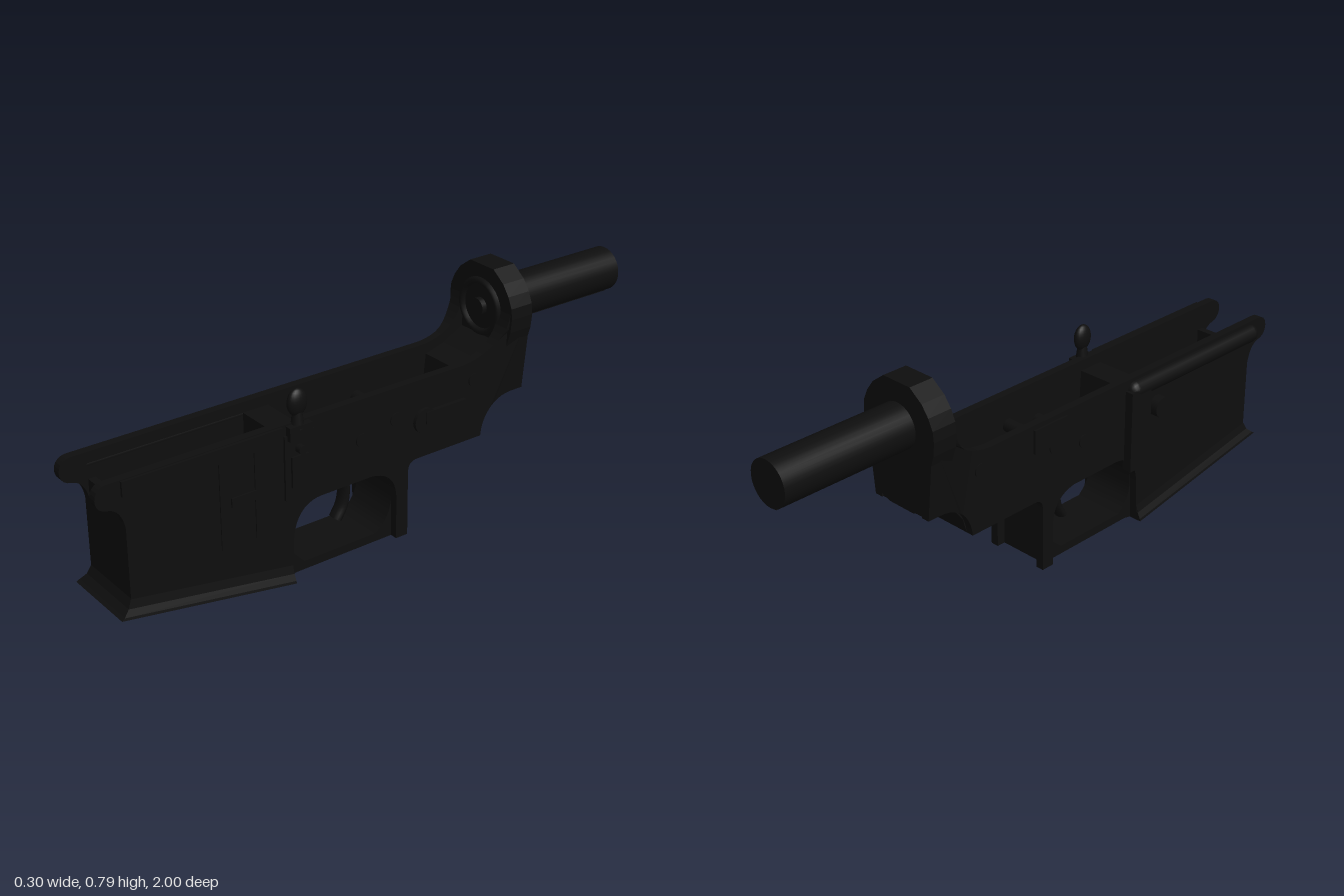
import * as THREE from 'three';

const black = new THREE.MeshStandardMaterial({ color: 0x0e0e0e, side: THREE.DoubleSide });
black.name = 'matte black';

export function createModel() {
  const group = new THREE.Group();
  const add = (name, geo, x = 0, y = 0, z = 0) => {
    const mesh = new THREE.Mesh(geo, black);
    mesh.name = name;
    mesh.position.set(x, y, z);
    group.add(mesh);
    return mesh;
  };
  const box = (name, x0, x1, y0, y1, z0, z1) =>
    add(name, new THREE.BoxGeometry(x1 - x0, y1 - y0, z1 - z0), (x0 + x1) / 2, (y0 + y1) / 2, (z0 + z1) / 2);
  const toShape = pts => new THREE.Shape(pts.map(p => new THREE.Vector2(...p)));
  // Extrudes a side profile given as (z, y) points between x0 and x1
  const sideExtrude = (shape, x0, x1) => {
    const geo = new THREE.ExtrudeGeometry(shape, { depth: x1 - x0, bevelEnabled: false, curveSegments: 10 });
    return geo.rotateY(-Math.PI / 2).translate(x1, 0, 0);
  };
  // Round part whose axis runs across the body
  const disc = (name, r, x0, x1, y, z) =>
    add(name, new THREE.CylinderGeometry(r, r, x1 - x0, 20).rotateZ(Math.PI / 2), (x0 + x1) / 2, y, z);

  // Side walls, flaring outward into the rear ring
  const wall = new THREE.Shape();
  wall.moveTo(0.91, 0.112);
  wall.lineTo(0.36, 0.012);
  wall.lineTo(0.355, 0.13);
  wall.bezierCurveTo(0.355, 0.22, 0.31, 0.262, 0.25, 0.262);
  wall.lineTo(0.06, 0.262);
  wall.quadraticCurveTo(-0.035, 0.25, -0.035, 0.15);
  wall.lineTo(-0.035, 0.01);
  wall.lineTo(-0.08, 0.01);
  wall.lineTo(-0.08, 0.23);
  wall.quadraticCurveTo(-0.08, 0.268, -0.115, 0.268);
  wall.lineTo(-0.375, 0.268);
  wall.bezierCurveTo(-0.38, 0.34, -0.43, 0.39, -0.5, 0.39);
  wall.lineTo(-0.545, 0.39);
  wall.lineTo(-0.545, 0.67);
  wall.lineTo(-0.46, 0.67);
  wall.bezierCurveTo(-0.45, 0.59, -0.39, 0.54, -0.3, 0.535);
  wall.lineTo(0.96, 0.535);
  wall.bezierCurveTo(1.013, 0.535, 1.013, 0.46, 0.965, 0.455);
  wall.bezierCurveTo(0.93, 0.45, 0.91, 0.41, 0.91, 0.35);
  for (const s of [1, -1]) {
    const geo = sideExtrude(wall, s > 0 ? 0.086 : -0.114, s > 0 ? 0.114 : -0.086);
    const p = geo.attributes.position;
    for (let i = 0; i < p.count; i++) {
      if (Math.abs(p.getX(i)) < 0.1) continue;
      const t = THREE.MathUtils.smoothstep(-p.getZ(i), 0.36, 0.48);
      const h = THREE.MathUtils.smoothstep(p.getY(i), 0.42, 0.62);
      p.setX(i, p.getX(i) + s * 0.028 * t * h);
    }
    geo.computeVertexNormals();
    add(s > 0 ? 'leftWall' : 'rightWall', geo);
  }

  // Centre block with guard loop
  const core = toShape([[0.39, 0.005], [0.36, 0.004], [0.33, 0.01], [-0.05, 0.01], [-0.05, 0.25], [-0.11, 0.268],
    [-0.375, 0.268], [-0.39, 0.32], [-0.43, 0.37], [-0.48, 0.39], [-0.54, 0.39], [-0.54, 0.56], [-0.46, 0.56],
    [-0.38, 0.52], [-0.31, 0.5], [-0.29, 0.31], [0.29, 0.31], [0.3, 0.5], [0.39, 0.5]]);
  const opening = new THREE.Path();
  opening.moveTo(0.3, 0.038);
  opening.bezierCurveTo(0.34, 0.07, 0.352, 0.1, 0.352, 0.14);
  opening.bezierCurveTo(0.352, 0.22, 0.31, 0.26, 0.25, 0.26);
  opening.lineTo(0.06, 0.26);
  opening.quadraticCurveTo(-0.035, 0.25, -0.035, 0.15);
  opening.quadraticCurveTo(-0.03, 0.07, 0.03, 0.038);
  core.holes.push(opening);
  add('centreBlock', sideExtrude(core, -0.088, 0.088));

  // Front wall and flared lip of the open well
  box('wellFrontWall', -0.114, 0.114, 0.112, 0.45, 0.888, 0.912);
  const rings = [[0.132, 0.955, 0], [0.13, 0.945, 0.008], [0.12, 0.925, 0.028], [0.113, 0.911, 0.06]];
  const pos = [], idx = [];
  for (const [x, zf, dy] of rings)
    for (const [px, pz] of [[x, zf], [-x, zf], [-x, 0.36], [x, 0.36]])
      pos.push(px, 0.003 + (pz - 0.36) * 0.172 + dy, pz);
  for (let r = 0; r < rings.length - 1; r++)
    for (let k = 0; k < 4; k++) {
      const a = r * 4 + k, b = r * 4 + (k + 1) % 4;
      idx.push(a, a + 4, b, b, a + 4, b + 4);
    }
  const lip = new THREE.BufferGeometry();
  lip.setAttribute('position', new THREE.Float32BufferAttribute(pos, 3));
  lip.setIndex(idx);
  const lipFlat = lip.toNonIndexed();
  lipFlat.computeVertexNormals();
  add('wellLip', lipFlat);

  // Rear ring plate with flat top
  const half = [[0.055, 0.795], [0.102, 0.76], [0.128, 0.725], [0.144, 0.69], [0.148, 0.655], [0.143, 0.61],
    [0.118, 0.53], [0.112, 0.45], [0.09, 0.405], [0.05, 0.39]];
  const plate = toShape([...half, ...half.map(([x, y]) => [-x, y]).reverse()]);
  add('rearRing', new THREE.ExtrudeGeometry(plate, { depth: 0.085, bevelEnabled: false }), 0, 0, -0.545);
  add('ringCollar', new THREE.TorusGeometry(0.085, 0.012, 8, 32), 0, 0.655, -0.459);
  add('ringBoss', new THREE.CylinderGeometry(0.03, 0.03, 0.02, 20).rotateX(Math.PI / 2), 0, 0.655, -0.452);

  // Rear tube with a key strip underneath
  add('rearTube', new THREE.CylinderGeometry(0.073, 0.073, 0.46, 32).rotateX(Math.PI / 2), 0, 0.657, -0.77);
  box('tubeKey', -0.02, 0.02, 0.582, 0.6, -0.995, -0.55);

  // Curved trigger
  const curve = new THREE.CatmullRomCurve3([[0.3, 0.125], [0.25, 0.1], [0.19, 0.085], [0.13, 0.093], [0.085, 0.118]]
    .map(([y, z]) => new THREE.Vector3(0, y, z)));
  add('trigger', new THREE.TubeGeometry(curve, 20, 0.016, 10)).scale.x = 1.6;

  // Right side rail and fence
  const rail = new THREE.CapsuleGeometry(0.03, 0.58, 6, 14).rotateX(Math.PI / 2);
  add('rightRail', rail, -0.115, 0.495, 0.62);
  box('rightFence', -0.143, -0.11, 0.22, 0.5, 0.29, 0.38);
  disc('rightButton', 0.035, -0.145, -0.11, 0.4, 0.44);
  box('rightRearPad', -0.122, -0.11, 0.44, 0.52, -0.12, 0.02);

  // Left side rail, panel bands and button
  box('leftRail', 0.11, 0.123, 0.485, 0.532, 0.39, 0.92);
  for (const z of [0.47, 0.59]) box('leftBand', 0.11, 0.118, 0.2, 0.5, z, z + 0.018);
  box('leftButtonPad', 0.11, 0.12, 0.33, 0.36, 0.48, 0.57);

  // Left catch lever with knob
  box('catchPlate', 0.11, 0.122, 0.29, 0.5, 0.28, 0.385);
  box('catchBase', 0.11, 0.136, 0.485, 0.53, 0.295, 0.375);
  disc('catchPin', 0.014, 0.11, 0.144, 0.452, 0.335);
  box('catchFoot', 0.11, 0.13, 0.33, 0.43, 0.305, 0.365);
  add('catchStem', new THREE.CylinderGeometry(0.014, 0.022, 0.06, 14), 0.115, 0.545, 0.335);
  const knob = add('catchKnob', new THREE.SphereGeometry(0.04, 20, 14), 0.115, 0.597, 0.335);
  knob.scale.set(0.5, 1.1, 0.85);

  // Left selector lever and cross pins
  disc('selectorHub', 0.042, 0.11, 0.126, 0.395, -0.14);
  box('selectorLever', 0.115, 0.13, 0.385, 0.425, -0.3, -0.14);
  for (const [y, z] of [[0.4, 0.1], [0.43, -0.03], [0.475, -0.34]]) disc('crossPin', 0.022, -0.118, 0.118, y, z);

  return group;
}
